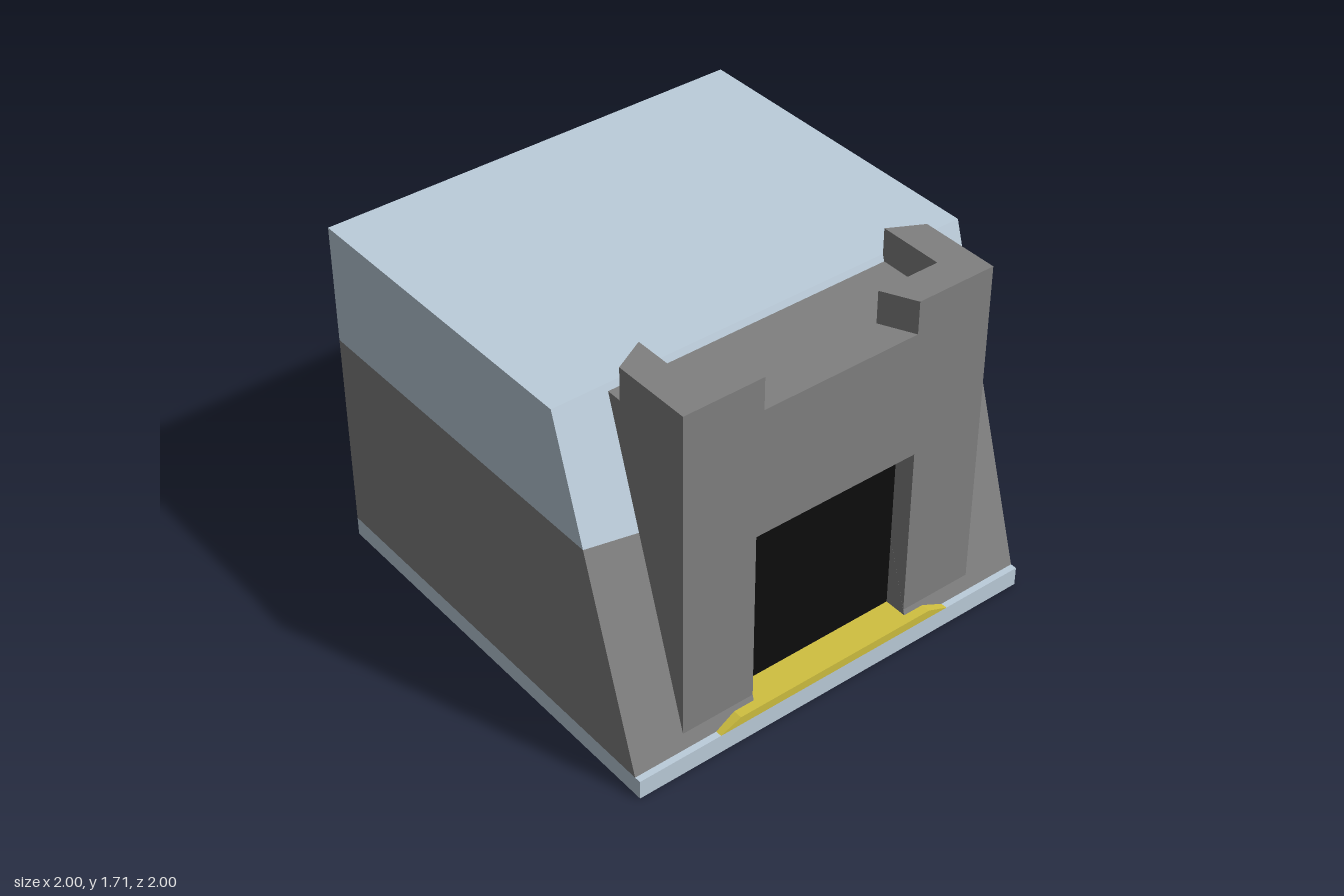
import * as THREE from 'three';

const paint = (color) => new THREE.MeshStandardMaterial({ color, flatShading: true });

// Depth of the leaning front wall at height y
const slopeZ = (y) => 0.97 - 0.47 * (y - 0.09) / 1.5;

// Height of the colour break on the leaning wall
function breakY(x) {
  if (x <= -0.75) return 1.0 + 0.04 * (-0.75 - x) / 0.25;
  if (x >= 0.75) return 1.07 - 0.03 * (x - 0.75) / 0.25;
  return 1.0 + 0.07 * (x + 0.75) / 1.5;
}

export function createModel() {
  const model = new THREE.Group();
  const grey = paint(0x808080);
  const blue = paint(0xbccddb);
  const yellow = paint(0xd0c040);
  const black = paint(0x0d0d0d);

  function add(name, geometry, material) {
    const mesh = new THREE.Mesh(geometry, material);
    mesh.name = name;
    model.add(mesh);
    return mesh;
  }

  function box(name, x0, x1, y0, y1, z0, z1, material) {
    const mesh = add(name, new THREE.BoxGeometry(x1 - x0, y1 - y0, z1 - z0), material);
    mesh.position.set((x0 + x1) / 2, (y0 + y1) / 2, (z0 + z1) / 2);
  }

  // Block whose front follows the leaning wall; bottom and top are (x, isFront) => y
  function wallBlock(name, x0, x1, bottom, top, material) {
    const geo = new THREE.BoxGeometry(1, 1, 1);
    const p = geo.attributes.position;
    for (let i = 0; i < p.count; i++) {
      const x = p.getX(i) < 0 ? x0 : x1;
      const front = p.getZ(i) > 0;
      const y = (p.getY(i) < 0 ? bottom : top)(x, front);
      p.setXYZ(i, x, y, front ? slopeZ(y) : -1);
    }
    geo.computeVertexNormals();
    add(name, geo, material);
  }

  // Side profile of [z, y] points, extruded from x0 to x1
  function sideProfile(name, points, x0, x1, material) {
    const shape = new THREE.Shape(points.map(([z, y]) => new THREE.Vector2(-z, y)));
    const geo = new THREE.ExtrudeGeometry(shape, { depth: x1 - x0, bevelEnabled: false });
    geo.rotateY(Math.PI / 2).translate(x0, 0, 0);
    add(name, geo, material);
  }

  // Base slab
  box('base', -1, 1, 0, 0.09, -1, 1, blue);

  // Main body: grey lower walls with a gap for the doorway, pale upper storey
  const floor = () => 0.09;
  const seam = (x, front) => (front ? breakY(x) : 1.04);
  const roof = () => 1.59;
  const cuts = [-1, -0.75, -0.4, 0.4, 0.75, 1];
  for (let i = 0; i < 5; i++) {
    if (i !== 2) wallBlock('lowerBody', cuts[i], cuts[i + 1], floor, seam, grey);
    wallBlock('upperBody', cuts[i], cuts[i + 1], seam, roof, blue);
  }
  box('bodyCore', -0.4, 0.4, 0.09, 1.04, -1, 0.5, grey);

  // Gate tower: two piers and a lintel leaning against the wall
  const pier = [[0.95, 0.155], [0.95, 1.56], [slopeZ(1.56), 1.56]];
  const lintel = [[0.95, 0.97], [0.95, 1.56], [slopeZ(1.56), 1.56], [slopeZ(0.97), 0.97]];
  sideProfile('towerPier', pier, -0.75, -0.4, grey);
  sideProfile('towerPier', pier, 0.4, 0.75, grey);
  sideProfile('towerLintel', lintel, -0.4, 0.4, grey);

  // Corner battlements, mirrored
  const plan = [[0.375, 0.95], [0.75, 0.95], [0.75, 0.58], [0.6, 0.5], [0.6, 0.8], [0.3, 0.8]];
  for (const side of [-1, 1]) {
    const shape = new THREE.Shape(plan.map(([x, z]) => new THREE.Vector2(side * x, -z)));
    const geo = new THREE.ExtrudeGeometry(shape, { depth: 0.15, bevelEnabled: false });
    geo.rotateX(-Math.PI / 2).translate(0, 1.56, 0);
    add('battlement', geo, grey);
  }

  // Dark doorway
  box('doorway', -0.4, 0.4, 0.09, 0.97, 0.45, 0.85, black);

  // Threshold ramp with sloping ends
  const ramp = new THREE.Shape([[-0.6, 0.09], [0.6, 0.09], [0.5, 0.13], [-0.5, 0.13]]
    .map(([x, y]) => new THREE.Vector2(x, y)));
  const rampGeo = new THREE.ExtrudeGeometry(ramp, { depth: 0.16, bevelEnabled: false });
  add('threshold', rampGeo.translate(0, 0, 0.84), yellow);

  return model;
}
